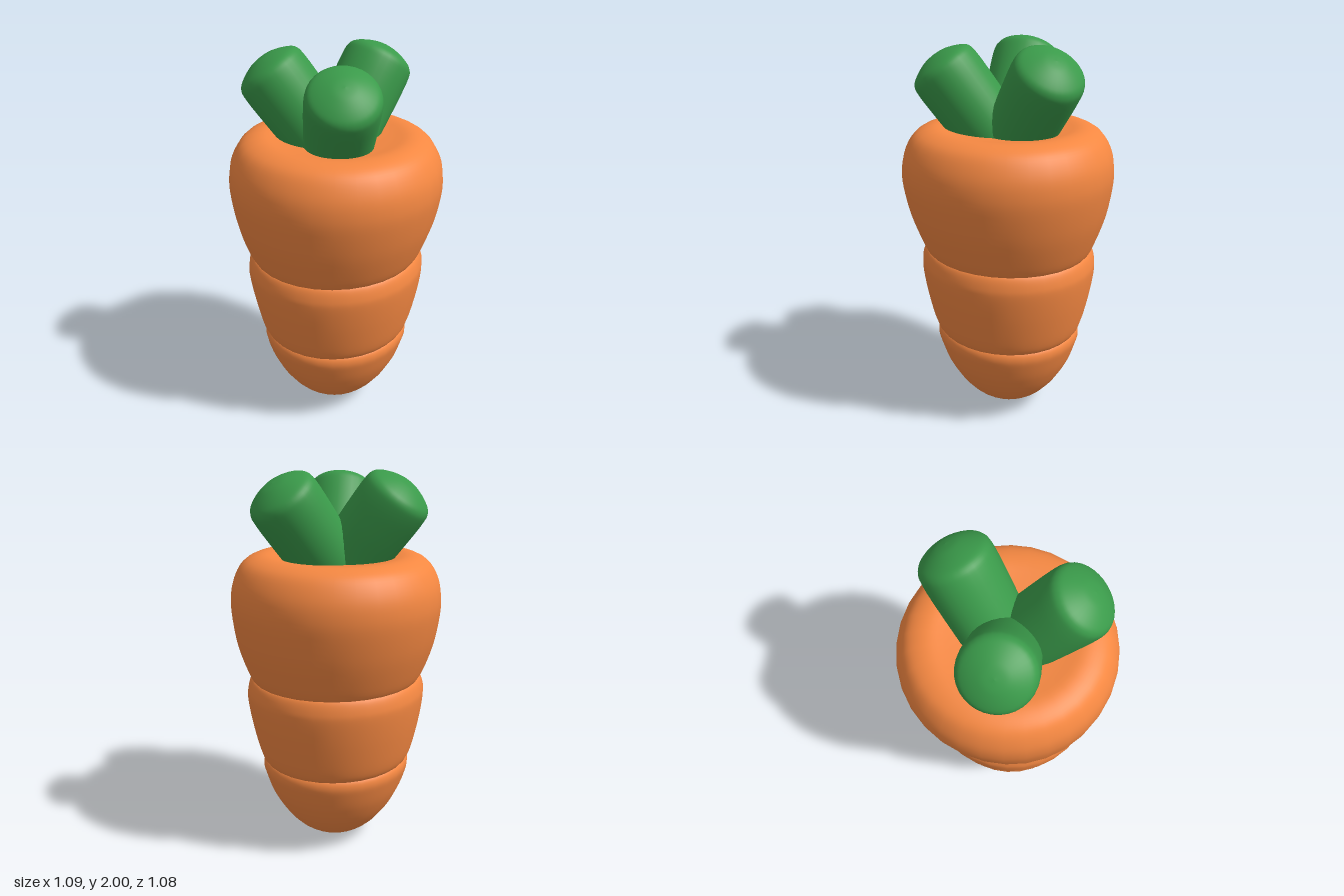
import * as THREE from 'three';

const orange = new THREE.MeshStandardMaterial({ color: 0xf58842 });
const green = new THREE.MeshStandardMaterial({ color: 0x3a9a4a });

// Smooth lathe through a few [radius, height] points, listed bottom to top
function turned(points, steps, sides) {
  const curve = new THREE.SplineCurve(points.map(([r, y]) => new THREE.Vector2(r, y)));
  const profile = curve.getPoints(steps);
  profile.forEach((p) => { p.x = Math.max(0, p.x); });
  return new THREE.LatheGeometry(profile, sides);
}

// The root is slightly deeper than wide below, and round at the crown
function deepen(geometry) {
  const pos = geometry.attributes.position;
  for (let i = 0; i < pos.count; i++) {
    const k = 1.05 - 0.06 * THREE.MathUtils.smoothstep(pos.getY(i), 0.94, 1.4);
    pos.setZ(i, pos.getZ(i) * k);
  }
  return geometry;
}

const sections = {
  rootTip: [[0, 0.005], [0.1, 0.022], [0.2, 0.085], [0.28, 0.18], [0.34, 0.29],
    [0.375, 0.39], [0.385, 0.445], [0.37, 0.482], [0.33, 0.495]],
  rootMiddle: [[0.35, 0.465], [0.38, 0.485], [0.405, 0.55], [0.437, 0.7], [0.455, 0.83],
    [0.452, 0.89], [0.43, 0.943], [0.39, 0.955]],
  rootCrown: [[0.4, 0.925], [0.43, 0.945], [0.465, 1.02], [0.51, 1.15], [0.54, 1.29], [0.545, 1.38],
    [0.53, 1.46], [0.49, 1.535], [0.44, 1.573], [0.37, 1.588], [0.28, 1.575], [0.15, 1.56], [0, 1.555]],
};

// Stubby stalk with a softly domed end
const stalkProfile = [[0.168, -0.08], [0.172, 0.15], [0.178, 0.35], [0.179, 0.49],
  [0.168, 0.546], [0.128, 0.578], [0.06, 0.605], [0, 0.612]];

export function createModel() {
  const model = new THREE.Group();

  // Three overlapping root sections
  for (const [name, points] of Object.entries(sections)) {
    const mesh = new THREE.Mesh(deepen(turned(points, 48, 32)), orange);
    mesh.name = name;
    model.add(mesh);
  }

  // Three stalks leaning outward from the crown
  const stalkGeometry = turned(stalkProfile, 36, 32);
  const stalks = [
    ['backStalk', Math.PI, -0.02, 1.464],
    ['leftStalk', 0.9, 0.005, 1.442],
    ['rightStalk', -0.9, 0, 1.464],
  ];
  for (const [name, yaw, x, y] of stalks) {
    const stalk = new THREE.Mesh(stalkGeometry, green);
    stalk.name = name;
    stalk.position.set(x, y, 0);
    stalk.rotation.set(0.6435, yaw, 0, 'YXZ');
    model.add(stalk);
  }

  return model;
}
